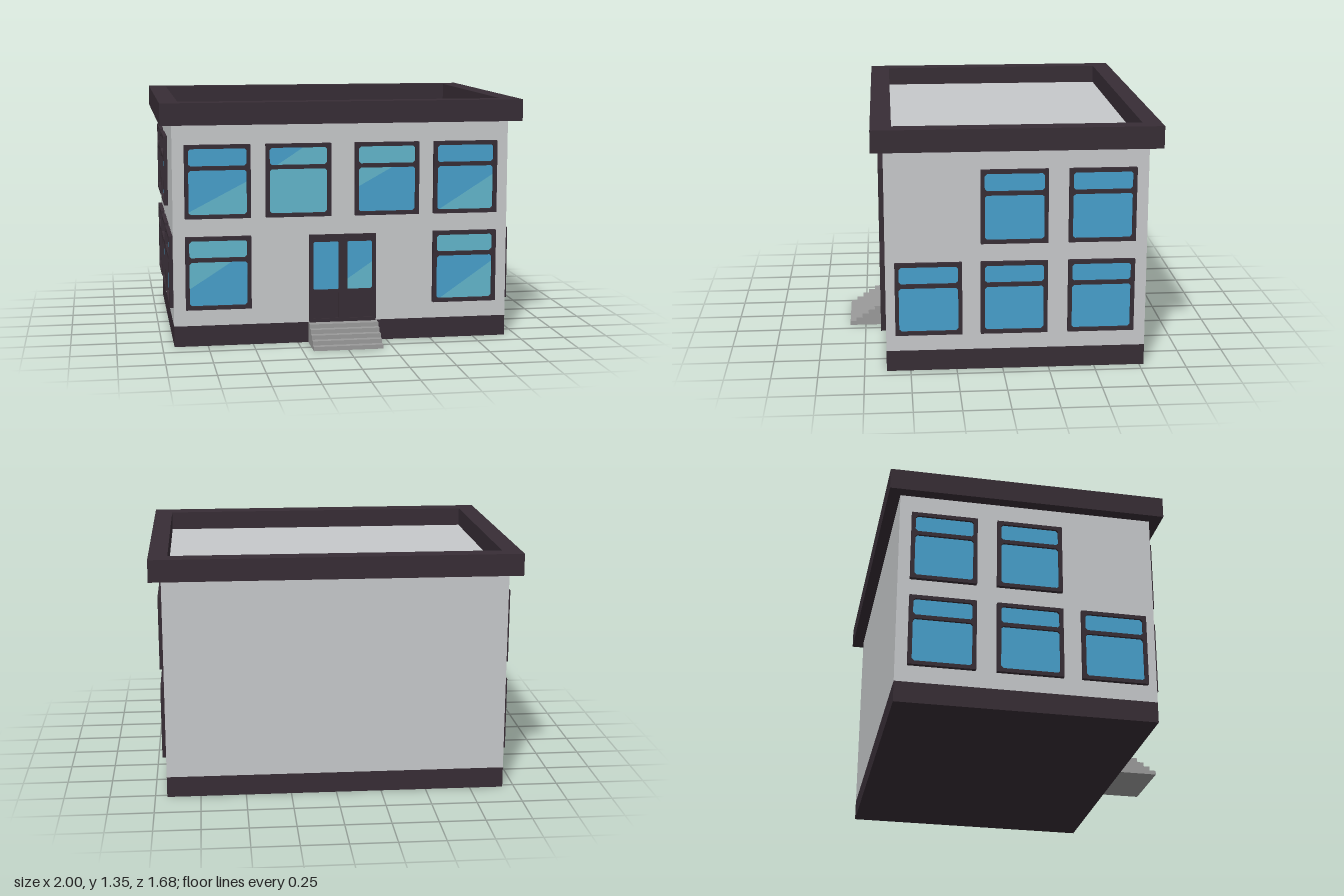
import * as THREE from 'three';

const mat = (name, color) => {
  const m = new THREE.MeshStandardMaterial({ color });
  m.name = name;
  return m;
};

export function createModel() {
  const wallMat = mat('light grey wall', 0xc6c8ca);
  const trimMat = mat('dark trim', 0x372d35);
  const stepMat = mat('step grey', 0x9a9a9a);
  const glassMat = mat('blue glass', 0x479fcb);
  const shineMat = mat('teal reflection', 0x62b5cb);

  const W = 0.935, FRONT = 0.63, BACK = -0.775, BASE = 0.115;
  const model = new THREE.Group();
  model.name = 'building';

  const add = (parent, name, geo, material, x = 0, y = 0, z = 0) => {
    const m = new THREE.Mesh(geo, material);
    m.name = name;
    m.position.set(x, y, z);
    parent.add(m);
    return m;
  };
  // box given by its limits on each axis
  const block = (parent, name, material, x0, x1, y0, y1, z0, z1) =>
    add(parent, name, new THREE.BoxGeometry(x1 - x0, y1 - y0, z1 - z0), material,
      (x0 + x1) / 2, (y0 + y1) / 2, (z0 + z1) / 2);

  // rectangle outline with small cut corners
  const pane = (x0, x1, y0, y1, c = 0.012) => [
    [x0 + c, y0], [x1 - c, y0], [x1, y0 + c], [x1, y1 - c],
    [x1 - c, y1], [x0 + c, y1], [x0, y1 - c], [x0, y0 + c],
  ].map(([x, y]) => new THREE.Vector2(x, y));

  // keep the part of a polygon where f >= 0
  const clip = (pts, f) => {
    const out = [];
    pts.forEach((a, i) => {
      const b = pts[(i + 1) % pts.length], fa = f(a), fb = f(b);
      if (fa >= 0) out.push(a);
      if (fa * fb < 0) out.push(a.clone().lerp(b, fa / (fa - fb)));
    });
    return out;
  };

  // glass split by a slanted line into blue and teal faces
  const glass = (parent, pts, isTeal, z) => {
    const parts = [['reflection', shineMat, isTeal], ['glass', glassMat, (p) => -isTeal(p)]];
    for (const [name, material, f] of parts) {
      const poly = clip(pts, f);
      if (poly.length > 2) add(parent, name, new THREE.ShapeGeometry(new THREE.Shape(poly)), material, 0, 0, z);
    }
  };

  // frame with holes, extruded outward from the wall
  const frame = (parent, name, x0, x1, y0, y1, holes, depth) => {
    const s = new THREE.Shape(pane(x0, x1, y0, y1, 0.001));
    holes.forEach((h) => s.holes.push(new THREE.Path(h)));
    add(parent, name, new THREE.ExtrudeGeometry(s, { depth, bevelEnabled: false }), trimMat);
  };

  // shine: left and right height of the line, which side is teal, optional fixed upper pane
  const makeWindow = (depth, shine) => {
    const g = new THREE.Group();
    g.name = 'window';
    const w = 0.18, h = 0.403, t = 0.021;
    const lower = pane(-w + t, w - t, t, 0.265);
    const upper = pane(-w + t, w - t, 0.287, h - t);
    frame(g, 'windowFrame', -w, w, 0, h, [lower, upper], depth);
    const f = shine
      ? (p) => shine.side * (p.y - THREE.MathUtils.lerp(shine.l, shine.r, (p.x + w) / (2 * w)))
      : () => -1;
    glass(g, lower, f, 0.009);
    glass(g, upper, shine && shine.upper ? () => 1 : f, 0.009);
    return g;
  };

  // walls, plinth and roof
  block(model, 'plinth', trimMat, -W, W, 0, BASE, BACK, FRONT);
  block(model, 'walls', wallMat, -W, W, BASE, 1.24, BACK, FRONT);
  const rim = new THREE.Shape(pane(-1, 1, -0.695, 0.84, 0));
  rim.holes.push(new THREE.Path(pane(-0.897, 0.897, -0.583, 0.738, 0)));
  add(model, 'roofParapet', new THREE.ExtrudeGeometry(rim, { depth: 0.12, bevelEnabled: false }),
    trimMat, 0, 1.225, 0).rotation.x = -Math.PI / 2;

  // front windows
  const HIGH = 0.712, LOW = 0.208;
  const frontWindows = [
    [-0.69, HIGH, { l: 0.024, r: 0.21, side: -1 }],
    [-0.247, HIGH, { l: 0.245, r: 0.48, side: -1 }],
    [0.246, HIGH, { l: 0.147, r: 0.346, side: 1, upper: true }],
    [0.69, HIGH, { l: 0, r: 0.227, side: -1 }],
    [-0.69, LOW, { l: 0.1, r: 0.33, side: 1, upper: true }],
    [0.69, LOW, { l: -0.01, r: 0.24, side: -1, upper: true }],
  ];
  for (const [x, y, shine] of frontWindows) {
    const win = makeWindow(0.027, shine);
    win.position.set(x, y, FRONT);
    model.add(win);
  }

  // side windows, the same on both sides
  for (const side of [-1, 1]) {
    for (const [z, y] of [[-0.06, HIGH], [-0.53, HIGH], [0.4, LOW], [-0.06, LOW], [-0.53, LOW]]) {
      const win = makeWindow(0.022);
      win.position.set(side * W, y, z);
      win.rotation.y = side * Math.PI / 2;
      model.add(win);
    }
  }

  // double door
  const door = new THREE.Group();
  door.name = 'door';
  door.position.z = FRONT;
  model.add(door);
  const leaves = [[-0.166, -0.02], [0.02, 0.166]];
  const panes = leaves.map(([a, b]) => pane(a, b, 0.298, 0.567, 0.008));
  const panels = leaves.map(([a, b]) => pane(a, b, 0.135, 0.28, 0.002));
  frame(door, 'doorFrame', -0.187, 0.187, BASE, 0.607, [...panes, ...panels], 0.016);
  panes.forEach((p, i) => glass(door, p,
    i ? (q) => 0.35 + (q.x - 0.02) * 0.68 - q.y : () => -1, 0.007));
  leaves.forEach(([a, b]) => block(door, 'doorPanel', trimMat, a, b, 0.135, 0.28, 0, 0.009));
  for (const x of [-0.014, 0.014]) {
    block(door, 'doorStile', trimMat, x - 0.011, x + 0.011, 0.12, 0.59, 0.01, 0.02);
  }

  // entrance steps as one stepped profile
  const N = 5, rise = BASE / N, run = 0.036;
  const profile = new THREE.Shape();
  profile.moveTo(FRONT, 0);
  profile.lineTo(0.84, 0);
  for (let i = 0; i < N; i++) {
    profile.lineTo(0.84 - i * run, (i + 1) * rise);
    profile.lineTo(i < N - 1 ? 0.84 - (i + 1) * run : FRONT, (i + 1) * rise);
  }
  add(model, 'steps', new THREE.ExtrudeGeometry(profile, { depth: 0.384, bevelEnabled: false }),
    stepMat, 0.192, 0, 0).rotation.y = -Math.PI / 2;

  return model;
}
